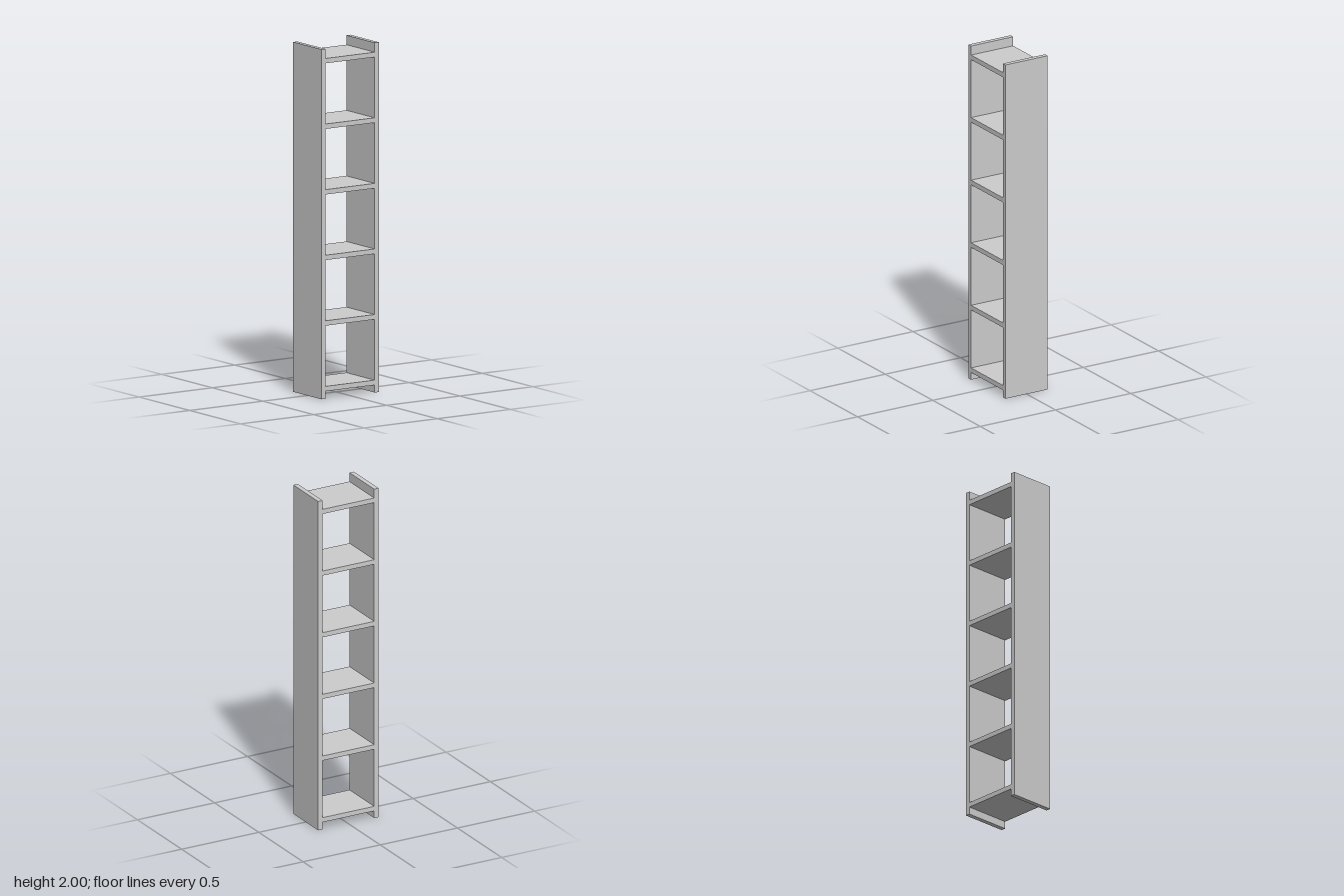
import * as THREE from 'three';

const HEIGHT = 2, WIDTH = 0.391, DEPTH = 0.28, BOARD = 0.028;
const SHELVES = 6, FIRST_SHELF = 0.057, LAST_SHELF = 1.932;

export function createModel() {
  const model = new THREE.Group();
  model.name = 'shelfUnit';
  const material = new THREE.MeshStandardMaterial({ color: 0xcccccc });

  const addBoard = (name, width, height, x, y) => {
    const mesh = new THREE.Mesh(new THREE.BoxGeometry(width, height, DEPTH), material);
    mesh.name = name;
    mesh.position.set(x, y, 0);
    model.add(mesh);
  };

  // Upright side panels
  const panelX = (WIDTH - BOARD) / 2;
  addBoard('leftPanel', BOARD, HEIGHT, panelX, HEIGHT / 2);
  addBoard('rightPanel', BOARD, HEIGHT, -panelX, HEIGHT / 2);

  // Evenly spaced shelves between the panels
  const step = (LAST_SHELF - FIRST_SHELF) / (SHELVES - 1);
  for (let i = 0; i < SHELVES; i++) {
    addBoard(`shelf${i + 1}`, WIDTH - 2 * BOARD, BOARD, 0, FIRST_SHELF + i * step);
  }

  return model;
}
